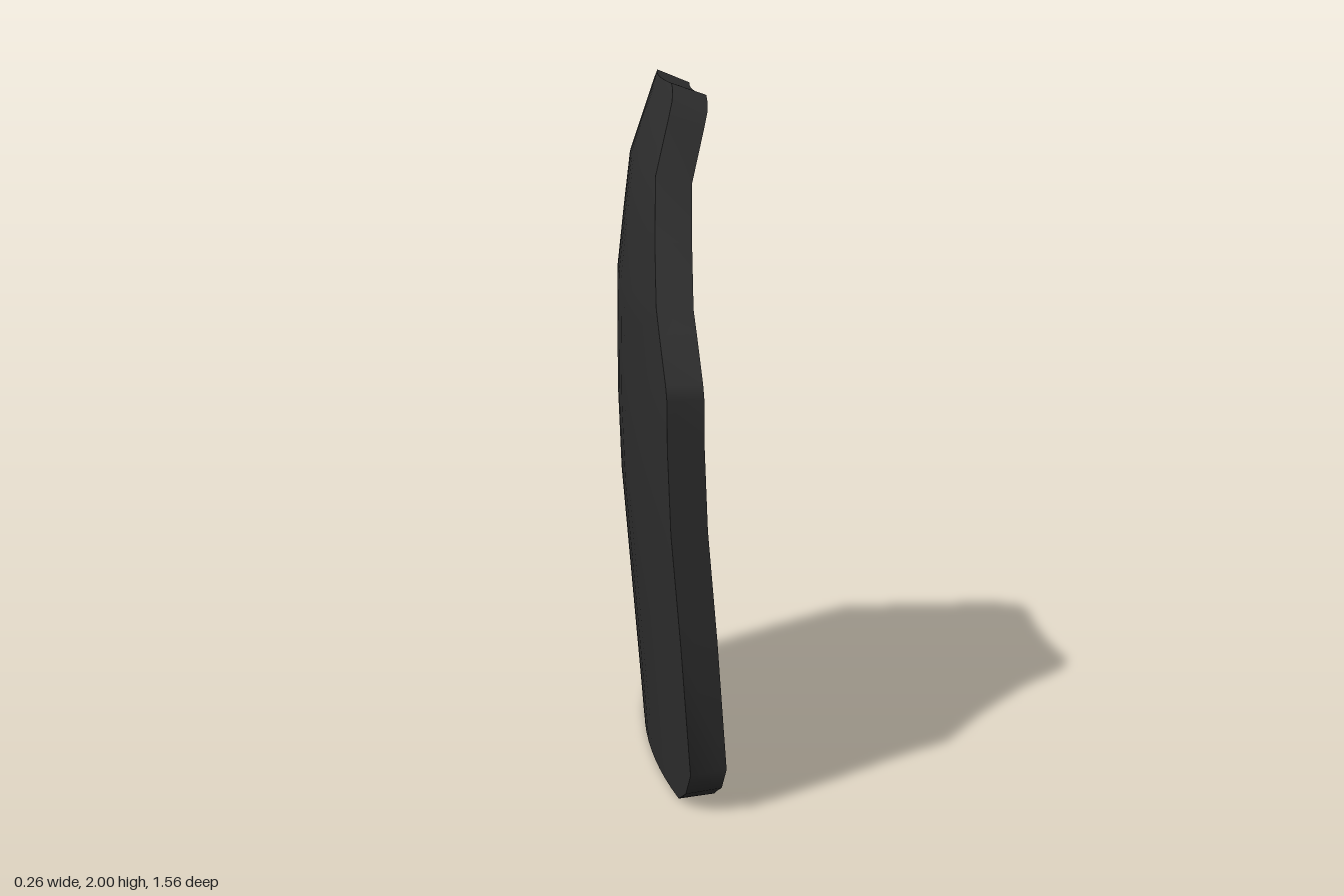
import * as THREE from 'three';

// Rows from bottom to top: height, half width, x of the convex face on the centre line
const ROWS = [
  [0, 0.61, -0.05], [0.015, 0.64, -0.051], [0.045, 0.70, -0.054], [0.12, 0.765, -0.06],
  [0.5, 0.782, -0.093], [0.81, 0.782, -0.12], [1.05, 0.782, -0.13], [1.18, 0.782, -0.131],
  [1.22, 0.77, -0.131], [1.35, 0.71, -0.131], [1.42, 0.675, -0.13], [1.59, 0.589, -0.112],
  [1.76, 0.51, -0.092], [1.915, 0.435, -0.04], [1.957, 0.41, -0.026],
  [1.985, 0.365, -0.016], [2, 0.31, -0.01],
];
const COLS = 14;
const THICKNESS = 0.105;
const BOW = 0.148; // sideways curvature

function makeGeometry(positions, index) {
  const g = new THREE.BufferGeometry();
  g.setAttribute('position', new THREE.Float32BufferAttribute(positions, 3));
  g.setIndex(index);
  g.computeVertexNormals();
  return g;
}

export function createModel() {
  const group = new THREE.Group();
  group.name = 'curvedPlate';
  const material = new THREE.MeshStandardMaterial({ color: 0x2e2e2e });
  material.name = 'charcoal';
  const add = (name, geometry) => {
    const mesh = new THREE.Mesh(geometry, material);
    mesh.name = name;
    group.add(mesh);
    return mesh;
  };

  // Convex face: a grid bowed in both directions
  const outer = [], faceIndex = [], backIndex = [];
  const id = (r, c) => r * (COLS + 1) + c;
  ROWS.forEach(([y, w, x], r) => {
    for (let c = 0; c <= COLS; c++) {
      const z = w * (2 * c / COLS - 1);
      outer.push(x + BOW * z * z, y, z);
      if (r < ROWS.length - 1 && c < COLS) {
        const a = id(r, c), b = id(r, c + 1), d = id(r + 1, c), e = id(r + 1, c + 1);
        faceIndex.push(a, b, d, b, e, d);
        backIndex.push(a, d, b, b, d, e);
      }
    }
  });
  const convex = makeGeometry(outer, faceIndex);
  add('convexFace', convex);

  // Concave face: the same grid pushed inwards along its normals
  const normals = convex.attributes.normal.array;
  const inner = outer.map((v, i) => v - normals[i] * THICKNESS);
  add('concaveFace', makeGeometry(inner, backIndex));

  // Rim: joins the two boundary loops
  const loop = [];
  const top = ROWS.length - 1;
  for (let c = 0; c < COLS; c++) loop.push(id(0, c));
  for (let r = 0; r < top; r++) loop.push(id(r, COLS));
  for (let c = COLS; c > 0; c--) loop.push(id(top, c));
  for (let r = top; r > 0; r--) loop.push(id(r, 0));
  const rim = [], rimIndex = [];
  loop.forEach((v, k) => {
    rim.push(...outer.slice(v * 3, v * 3 + 3), ...inner.slice(v * 3, v * 3 + 3));
    const o = 2 * k, n = 2 * ((k + 1) % loop.length);
    rimIndex.push(o, o + 1, n, o + 1, n + 1, n);
  });
  add('rim', makeGeometry(rim, rimIndex));

  // Tiny loose stud in front of the concave face
  add('stud', new THREE.OctahedronGeometry(0.007)).position.set(0.108, 0.943, -0.025);

  return group;
}
